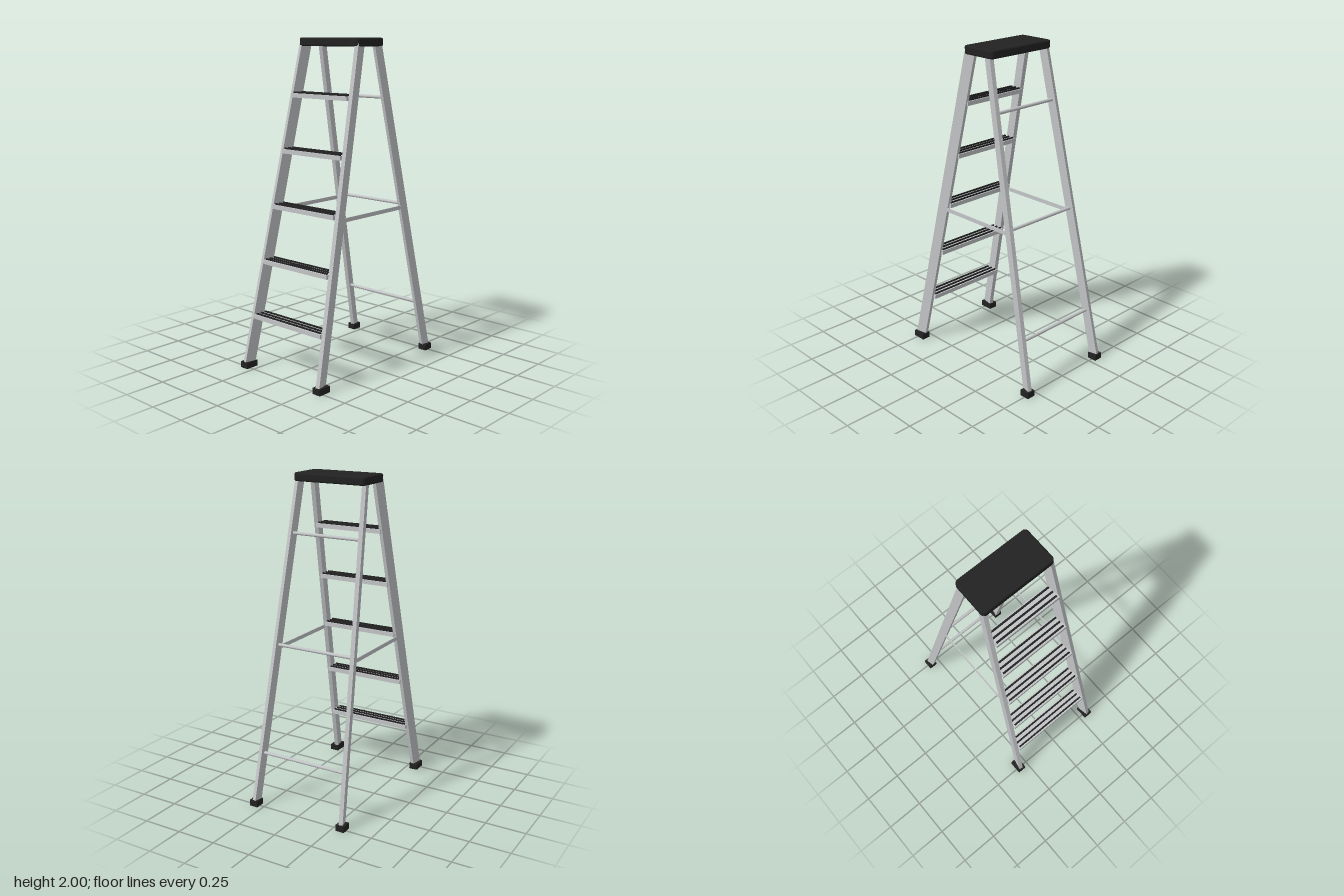
import * as THREE from 'three';

export function createModel() {
  const model = new THREE.Group();
  model.name = 'stepladder';

  const metal = new THREE.MeshStandardMaterial({ color: 0xc2c4c6 });
  metal.name = 'aluminium';
  const rubber = new THREE.MeshStandardMaterial({ color: 0x222222 });
  rubber.name = 'black rubber';

  function add(name, geometry, material, x, y, z) {
    const mesh = new THREE.Mesh(geometry, material);
    mesh.name = name;
    mesh.position.set(x, y, z);
    model.add(mesh);
    return mesh;
  }
  function box(name, material, w, h, d, x, y, z) {
    return add(name, new THREE.BoxGeometry(w, h, d), material, x, y, z);
  }

  // Sloping rail: a bar whose side faces stay vertical
  function rail(name, top, bottom, thickness, depth) {
    const mid = top.clone().add(bottom).multiplyScalar(0.5);
    const bar = box(name, metal, thickness, depth, top.distanceTo(bottom), mid.x, mid.y, mid.z);
    bar.lookAt(top);
  }

  // Rails, feet and spreader bars, mirrored left and right
  for (const [side, s] of [['left', 1], ['right', -1]]) {
    rail(side + 'FrontRail', new THREE.Vector3(s * 0.217, 1.96, 0.06),
      new THREE.Vector3(s * 0.303, 0.02, 0.489), 0.025, 0.07);
    rail(side + 'BackRail', new THREE.Vector3(s * 0.22, 1.96, -0.093),
      new THREE.Vector3(s * 0.304, 0.02, -0.499), 0.025, 0.052);
    box(side + 'FrontFoot', rubber, 0.055, 0.038, 0.085, s * 0.307, 0.019, 0.486);
    box(side + 'BackFoot', rubber, 0.055, 0.038, 0.062, s * 0.307, 0.019, -0.499);
    box(side + 'Spreader', metal, 0.006, 0.024, 0.57, s * 0.264, 0.967, -0.015);
  }

  // Steps with three grip strips each, narrowing towards the top
  for (let i = 0; i < 5; i++) {
    const y = 0.323 + i * 0.334;
    const z = 0.416 - i * 0.071;
    const width = 2 * (0.278 - i * 0.0138);
    box('step', metal, width, 0.026, 0.096, 0, y, z);
    for (const offset of [-0.034, 0, 0.032]) {
      box('gripStrip', rubber, width - 0.02, 0.008, 0.01, 0, y + 0.017, z + offset);
    }
  }

  // Round braces between the back rails
  for (const [y, z, half] of [[0.33, -0.434, 0.285], [0.99, -0.298, 0.256], [1.65, -0.162, 0.228]]) {
    const brace = add('backBrace', new THREE.CylinderGeometry(0.01, 0.01, half * 2, 16), metal, 0, y, z);
    brace.rotation.z = Math.PI / 2;
  }

  // Top cap: rounded slab with bevelled edges
  const bevel = 0.01, hw = 0.24 - bevel, hd = 0.119 - bevel, r = 0.015;
  const outline = new THREE.Shape();
  outline.absarc(hw - r, hd - r, r, 0, Math.PI / 2);
  outline.absarc(-hw + r, hd - r, r, Math.PI / 2, Math.PI);
  outline.absarc(-hw + r, -hd + r, r, Math.PI, Math.PI * 1.5);
  outline.absarc(hw - r, -hd + r, r, Math.PI * 1.5, Math.PI * 2);
  outline.closePath();
  const cap = new THREE.ExtrudeGeometry(outline, {
    depth: 0.03, bevelEnabled: true, bevelSize: bevel, bevelThickness: bevel,
    bevelSegments: 3, curveSegments: 5,
  });
  cap.rotateX(-Math.PI / 2);
  add('topCap', cap, rubber, 0, 1.96, -0.019);

  return model;
}
